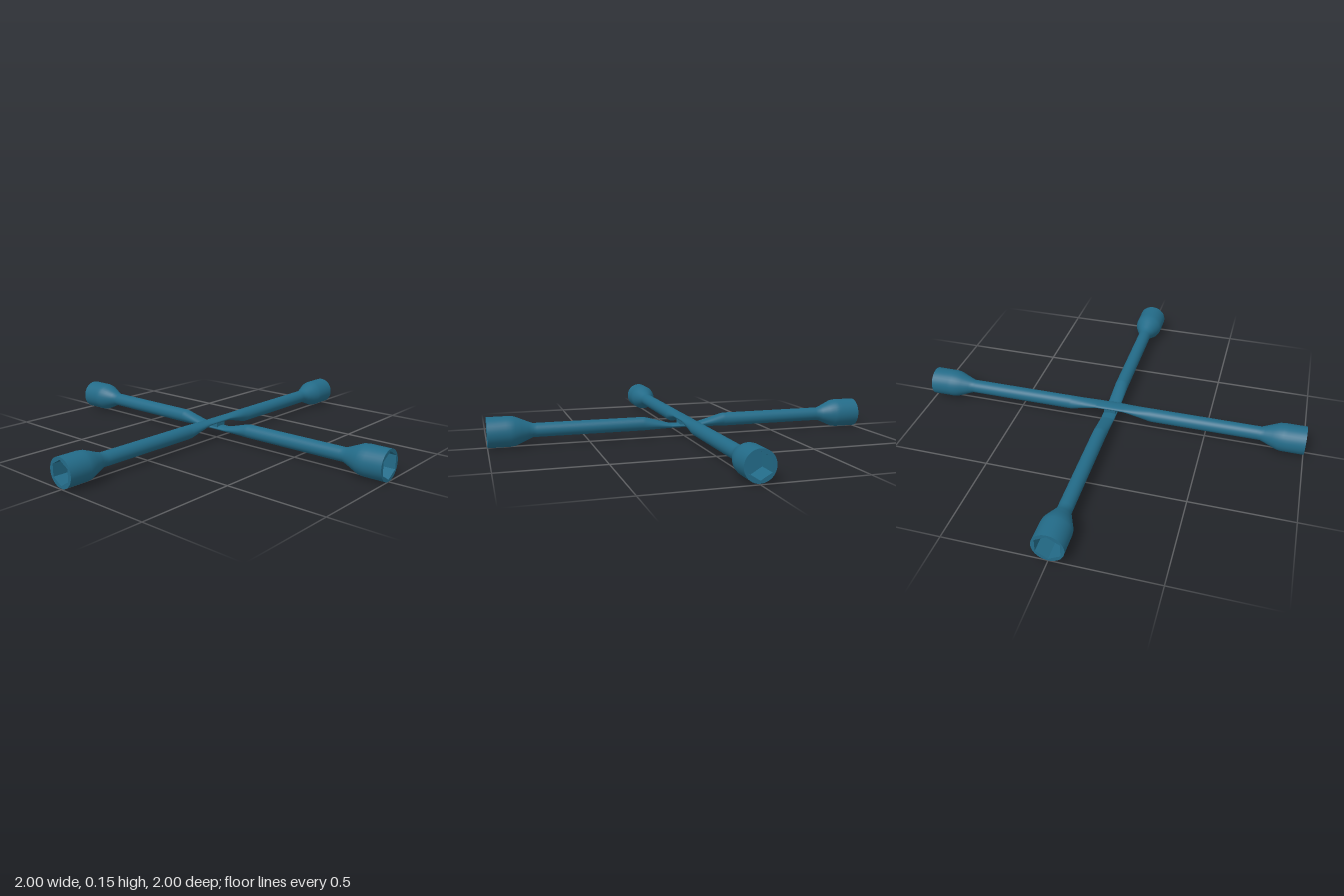
import * as THREE from 'three';
import { mergeVertices } from 'three/addons/utils/BufferGeometryUtils.js';

const BAR = 0.035;    // shaft radius
const DEPTH = 0.1;    // depth of the hexagonal recess
const CENTRE = 0.0755; // height of the shaft axis

const steel = new THREE.MeshStandardMaterial({ color: 0x236b88, side: THREE.DoubleSide });
steel.name = 'blue steel';

function addMesh(group, name, geometry) {
  const mesh = new THREE.Mesh(geometry, steel);
  mesh.name = name;
  group.add(mesh);
  return mesh;
}

// Shaft with a swollen socket at both ends, flattened to one side in the middle
function shaftGeometry(radius, side) {
  const swell = radius - BAR;
  const half = [
    [BAR, 0], [BAR, 0.07], [BAR, 0.08], [BAR, 0.15], [BAR, 0.21], [BAR, 0.225], [BAR, 0.76], [BAR, 0.78],
    [BAR + swell * 0.2, 0.80], [BAR + swell * 0.6, 0.837], [BAR + swell * 0.92, 0.867],
    [radius, 0.89], [radius, 0.91], [radius, 1],
  ];
  const profile = [...half.slice(1).reverse().map(([r, y]) => [r, -y]), ...half]
    .map(([r, y]) => new THREE.Vector2(r, y));
  let geometry = new THREE.LatheGeometry(profile, 32).rotateX(Math.PI / 2);
  const p = geometry.attributes.position;
  for (let i = 0; i < p.count; i++) {
    const flat = 1 - THREE.MathUtils.clamp((Math.abs(p.getZ(i)) - 0.075) / 0.14, 0, 1);
    const squash = THREE.MathUtils.lerp(1, 0.012 / BAR, flat);
    p.setY(i, p.getY(i) * squash + side * 0.017 * flat);
  }
  geometry.deleteAttribute('uv');
  geometry.deleteAttribute('normal');
  geometry = mergeVertices(geometry, 1e-5);
  geometry.computeVertexNormals();
  return geometry;
}

// Rim, hexagonal walls and floor of one socket, opening toward +z
function socketMouth(radius, hexRadius) {
  const mouth = new THREE.Group();
  const rim = new THREE.Shape().absarc(0, 0, radius, 0, Math.PI * 2);
  const corners = Array.from({ length: 6 }, (_, i) => {
    const a = Math.PI / 2 + i * Math.PI / 3;
    return new THREE.Vector2(Math.cos(a) * hexRadius, Math.sin(a) * hexRadius);
  });
  rim.holes.push(new THREE.Path(corners));
  addMesh(mouth, 'socketRim', new THREE.ShapeGeometry(rim, 32)).position.z = 1;

  const walls = new THREE.CylinderGeometry(hexRadius, hexRadius, DEPTH, 6, 1, true)
    .rotateX(Math.PI / 2).toNonIndexed();
  walls.computeVertexNormals();
  addMesh(mouth, 'hexWalls', walls).position.z = 1 - DEPTH / 2;
  addMesh(mouth, 'hexFloor', new THREE.ShapeGeometry(new THREE.Shape(corners))).position.z = 1 - DEPTH;
  return mouth;
}

function wrenchBar(name, radius, hexRadius, side) {
  const bar = new THREE.Group();
  bar.name = name;
  addMesh(bar, 'shaft', shaftGeometry(radius, side));
  for (const end of [0, 1]) {
    const mouth = socketMouth(radius, hexRadius);
    mouth.name = end ? 'backSocket' : 'frontSocket';
    mouth.rotation.y = end * Math.PI;
    bar.add(mouth);
  }
  bar.position.y = CENTRE;
  return bar;
}

export function createModel() {
  const model = new THREE.Group();
  model.name = 'crossWrench';

  // Lower bar runs front to back, upper bar runs side to side
  model.add(wrenchBar('lowerBar', 0.0755, 0.066, -1));
  const upper = wrenchBar('upperBar', 0.0715, 0.059, 1);
  upper.rotation.y = Math.PI / 2;
  model.add(upper);

  // Weld joining the two flattened middles
  addMesh(model, 'centreWeld', new THREE.BoxGeometry(0.06, 0.026, 0.06)).position.y = CENTRE;
  return model;
}
